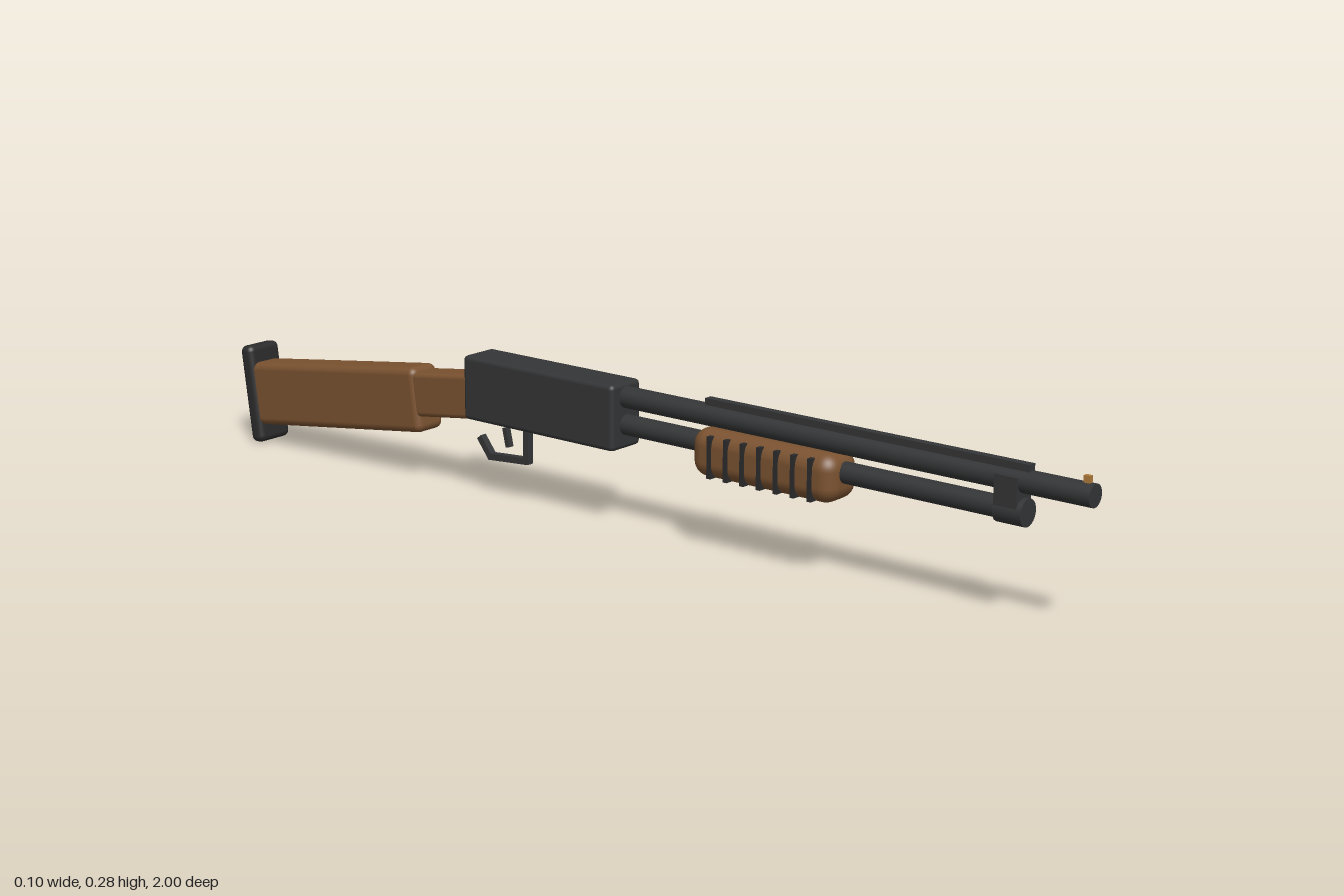
import * as THREE from 'three';
import { RoundedBoxGeometry } from 'three/addons/geometries/RoundedBoxGeometry.js';

export function createModel() {
  const group = new THREE.Group();
  const mat = (name, color) => {
    const m = new THREE.MeshStandardMaterial({ color });
    m.name = name;
    return m;
  };
  const steel = mat('gunmetal', 0x343536);
  const black = mat('black rubber', 0x2b2b2b);
  const wood = mat('walnut', 0x7a5230);
  const brass = mat('brass', 0xb07a3a);

  const add = (name, geo, material, x, y, z, tilt = 0) => {
    const m = new THREE.Mesh(geo, material);
    m.name = name;
    m.position.set(x, y, z);
    m.rotation.x = tilt;
    group.add(m);
    return m;
  };
  const box = (w, h, d) => new THREE.BoxGeometry(w, h, d);
  const rounded = (w, h, d, r, s = 3) => new RoundedBoxGeometry(w, h, d, s, r);
  // cylinder lying along z between two stations
  const rod = (name, r, y, z0, z1, material) =>
    add(name, new THREE.CylinderGeometry(r, r, z1 - z0, 24).rotateX(Math.PI / 2), material, 0, y, (z0 + z1) / 2);

  // barrel and magazine tube
  rod('barrel', 0.0205, 0.2525, -0.02, 1, steel);
  rod('magazineTube', 0.0195, 0.2, -0.02, 0.85, steel);
  rod('magazineCap', 0.0245, 0.199, 0.82, 0.875, steel);
  add('barrelClamp', box(0.045, 0.064, 0.045), steel, 0, 0.23, 0.843);
  add('sightRib', box(0.016, 0.018, 0.68), steel, 0, 0.275, 0.54);
  add('frontSightBead', box(0.009, 0.016, 0.012), brass, 0, 0.277, 0.985);

  // receiver with ejection port cover on the left side
  add('receiver', rounded(0.082, 0.126, 0.375, 0.009, 2), steel, 0, 0.217, -0.178);
  add('ejectionPort', box(0.008, 0.048, 0.13), steel, 0.04, 0.222, -0.185);

  // sliding fore-end with grip ribs
  add('foreEnd', rounded(0.092, 0.09, 0.315, 0.03, 4), wood, 0, 0.19, 0.349);
  for (let i = 0; i < 7; i++) {
    add('gripRib', box(0.096, 0.078, 0.009), black, 0, 0.188, 0.24 + i * 0.037);
  }

  // trigger guard built from straight bars along a bent path (y, z)
  const path = [[0.16, -0.236], [0.085, -0.236], [0.078, -0.33], [0.11, -0.355]];
  for (let i = 0; i < path.length - 1; i++) {
    const [y0, z0] = path[i], [y1, z1] = path[i + 1];
    const length = Math.hypot(y1 - y0, z1 - z0) + 0.008;
    add('triggerGuard', box(0.014, 0.013, length), steel,
      0, (y0 + y1) / 2, (z0 + z1) / 2, Math.atan2(y0 - y1, z1 - z0));
  }
  add('trigger', box(0.012, 0.038, 0.01), steel, 0, 0.123, -0.288, -0.22);

  // stock
  const drop = -0.135;
  add('stockWrist', rounded(0.064, 0.088, 0.2, 0.01, 2), wood, 0, 0.187, -0.425, drop);
  add('stock', rounded(0.072, 0.13, 0.475, 0.015), wood, 0, 0.134, -0.733, drop);
  add('buttPad', rounded(0.083, 0.202, 0.034, 0.013), black, 0, 0.102, -0.969, drop);

  return group;
}
